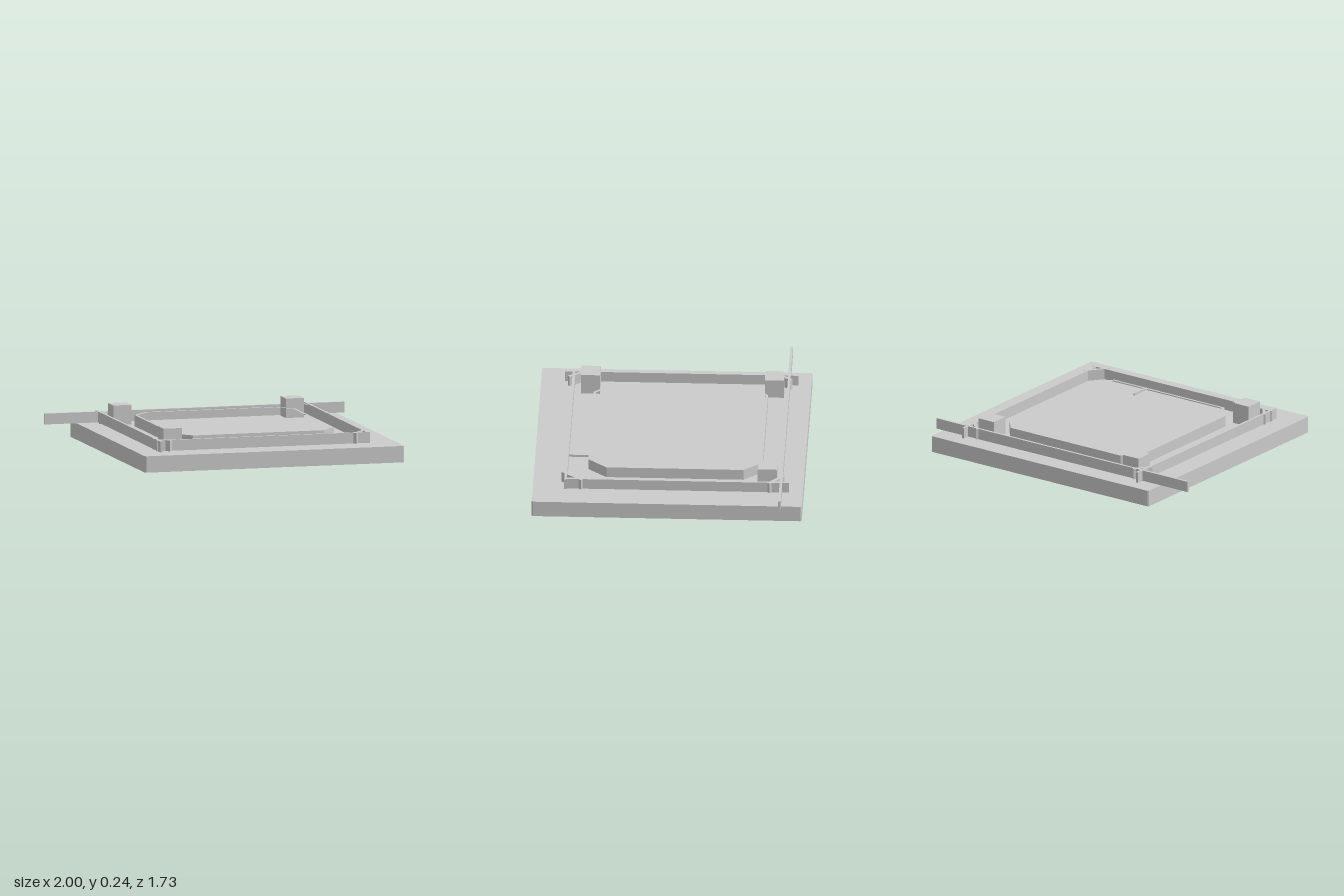
import * as THREE from 'three';

const BASE_TOP = 0.106;
const RAIL_H = 0.07;
const WALL = 0.016;

export function createModel() {
  const model = new THREE.Group();
  const material = new THREE.MeshStandardMaterial({ color: 0xcccccc, flatShading: true });

  const add = (name, geometry) => {
    const mesh = new THREE.Mesh(geometry, material);
    mesh.name = name;
    model.add(mesh);
    return mesh;
  };

  // Upright box between two plan points, standing on the base
  const rail = (name, x1, z1, x2, z2, thickness = WALL, height = RAIL_H) => {
    const length = Math.hypot(x2 - x1, z2 - z1);
    const mesh = add(name, new THREE.BoxGeometry(length, height, thickness));
    mesh.position.set((x1 + x2) / 2, BASE_TOP + height / 2, (z1 + z2) / 2);
    mesh.rotation.y = -Math.atan2(z2 - z1, x2 - x1);
  };

  // Rectangle with cut corners, as [x, z] points
  const cutRect = (x0, x1, z0, z1, cx, cz) => [
    [x0 + cx, z0], [x1 - cx, z0], [x1, z0 + cz], [x1, z1 - cz],
    [x1 - cx, z1], [x0 + cx, z1], [x0, z1 - cz], [x0, z0 + cz],
  ].map(([x, z]) => new THREE.Vector2(x, -z));

  // Extrude a plan shape upwards
  const extrudeUp = (shape, height) =>
    new THREE.ExtrudeGeometry(shape, { depth: height, bevelEnabled: false }).rotateX(-Math.PI / 2);

  // Base slab with slightly eased corners
  add('baseSlab', extrudeUp(new THREE.Shape(cutRect(-0.787, 0.943, -0.867, 0.865, 0.008, 0.008)), BASE_TOP));

  // Inner eight-sided wall
  const ring = new THREE.Shape(cutRect(-0.468, 0.607, -0.599, 0.519, 0.1, 0.12));
  ring.holes.push(new THREE.Path(cutRect(-0.452, 0.591, -0.583, 0.503, 0.093, 0.113)));
  add('innerWall', extrudeUp(ring, RAIL_H + 0.002)).position.y = BASE_TOP;

  // Outer rails, overlapping at the corners
  rail('backRail', -1, -0.726, 1, -0.726);
  rail('frontRail', -0.65, 0.655, 0.772, 0.655);
  rail('leftSideRail', 0.754, -0.778, 0.754, 0.655);
  rail('rightSideRail', -0.634, -0.783, -0.634, 0.714);

  // Diagonal corner braces
  [
    ['backRightBrace', -0.65, -0.642, -0.573, -0.742],
    ['backLeftBrace', 0.667, -0.738, 0.768, -0.646],
    ['frontRightBrace', -0.645, 0.572, -0.563, 0.686],
    ['frontLeftBrace', 0.667, 0.678, 0.767, 0.55],
  ].forEach(([name, ...ends]) => rail(name, ...ends, 0.02));

  // Low strip joining the inner wall and the front rail
  rail('lowStrip', 0.348, 0.515, 0.348, 0.65, 0.01, 0.015);

  // Corner blocks
  [
    ['backRightBlock', -0.522, -0.636, 0.232],
    ['backLeftBlock', 0.629, -0.636, 0.232],
    ['frontRightBlock', -0.528, 0.543, 0.242],
  ].forEach(([name, x, z, top]) => {
    const height = top - BASE_TOP;
    add(name, new THREE.BoxGeometry(0.122, height, 0.123)).position.set(x, BASE_TOP + height / 2, z);
  });

  return model;
}
